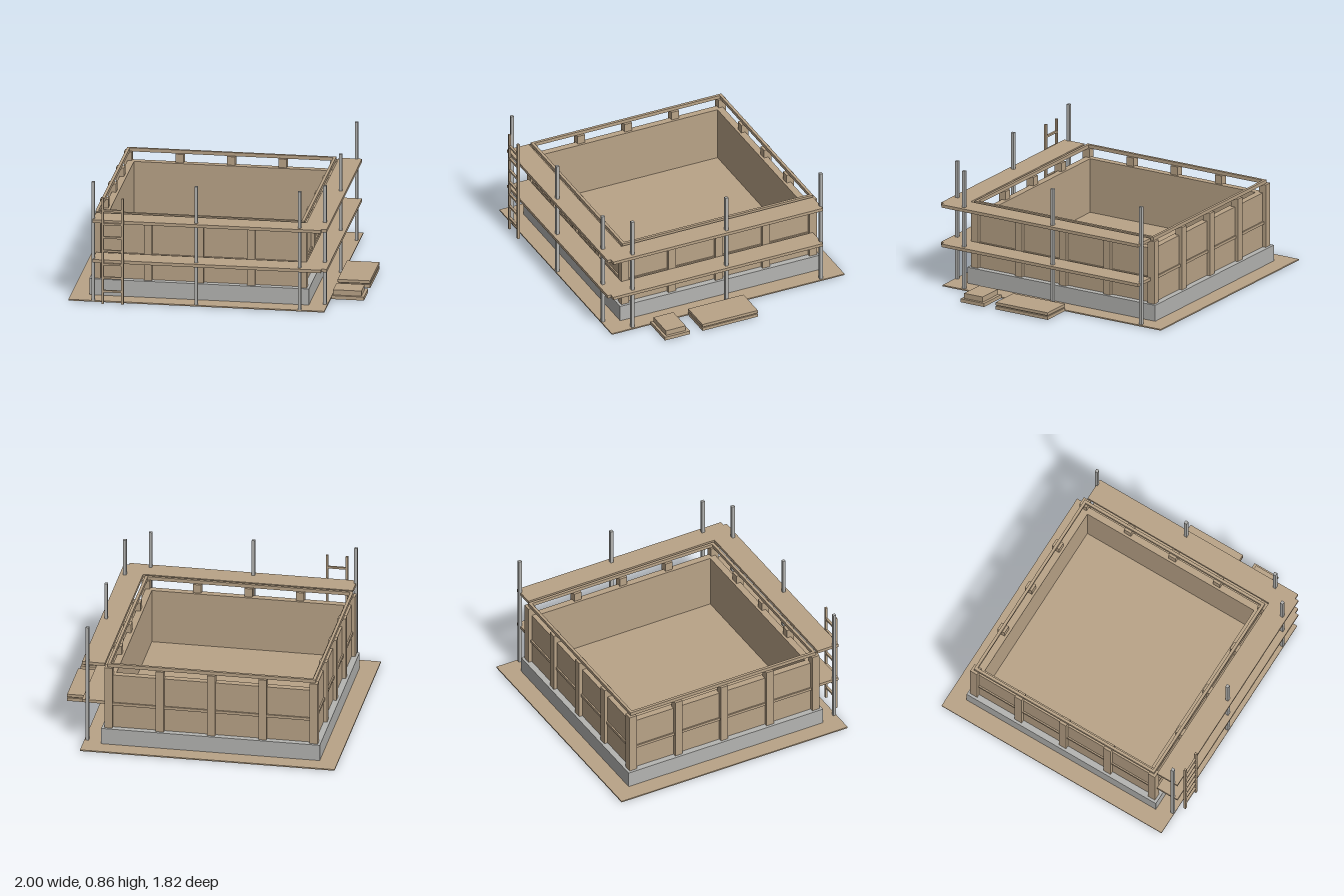
import * as THREE from 'three';

export function createModel() {
  const model = new THREE.Group();
  model.name = 'constructionSite';
  const wood = new THREE.MeshStandardMaterial({ color: 0xb9a387 });
  wood.name = 'timber';
  const grey = new THREE.MeshStandardMaterial({ color: 0xb4b4b1 });
  grey.name = 'concreteGrey';

  // Box given by its extents on each axis
  function box(name, mat, x0, x1, y0, y1, z0, z1, parent = model) {
    const m = new THREE.Mesh(new THREE.BoxGeometry(x1 - x0, y1 - y0, z1 - z0), mat);
    m.position.set((x0 + x1) / 2, (y0 + y1) / 2, (z0 + z1) / 2);
    m.name = name;
    parent.add(m);
  }

  // Flat outline in (x, z), raised from y0 to y1
  function slab(name, mat, points, y0, y1, hole) {
    const toV = ([x, z]) => new THREE.Vector2(x, -z);
    const shape = new THREE.Shape(points.map(toV));
    if (hole) shape.holes.push(new THREE.Path(hole.map(toV)));
    const g = new THREE.ExtrudeGeometry(shape, { depth: y1 - y0, bevelEnabled: false });
    g.rotateX(-Math.PI / 2);
    const m = new THREE.Mesh(g, mat);
    m.position.y = y0;
    m.name = name;
    model.add(m);
  }

  // Square ring around the building centre, by outer and inner half width
  const CX = -0.115, CZ = -0.026;
  const square = (h) => [[CX - h, CZ + h], [CX + h, CZ + h], [CX + h, CZ - h], [CX - h, CZ - h]];
  const ring = (name, mat, outer, inner, y0, y1) =>
    slab(name, mat, square(outer), y0, y1, square(inner));

  // Ground, foundation and floor
  box('ground', wood, -1, 0.77, 0.001, 0.01, -0.91, 0.857);
  ring('foundation', grey, 0.76, 0.64, 0, 0.125);
  box('floor', wood, CX - 0.69, CX + 0.69, 0.01, 0.128, CZ - 0.69, CZ + 0.69);

  // Walls, mid rail and top plate
  ring('walls', wood, 0.717, 0.669, 0.125, 0.515);
  ring('midRail', wood, 0.727, 0.71, 0.29, 0.31);
  ring('topPlate', wood, 0.724, 0.704, 0.575, 0.6);

  // Wall posts, five to a side
  const posts = new THREE.Group();
  posts.name = 'wallPosts';
  model.add(posts);
  const R = 0.714, P = 0.028;
  for (let i = 0; i < 5; i++) {
    for (let j = 0; j < 5; j++) {
      if (i % 4 !== 0 && j % 4 !== 0) continue;
      const x = CX + R * (i / 2 - 1), z = CZ + R * (j / 2 - 1);
      box('wallPost', wood, x - P, x + P, 0.125, 0.576, z - P, z + P, posts);
    }
  }

  // Scaffold decks wrapping the front and left sides
  const deck = [[-0.83, 0.717], [0.628, 0.717], [0.628, -0.738], [0.787, -0.738],
    [0.787, 0.855], [0.765, 0.855], [0.765, 0.842], [0.765, 0.855],
    [0.75, 0.855], [0.75, 0.88], [-0.83, 0.88]].filter((p, i) => i !== 5 && i !== 6 && i !== 7);
  slab('lowerDeck', wood, deck, 0.29, 0.312);
  slab('upperDeck', wood, deck, 0.575, 0.597);

  // Scaffold poles
  const S = 0.011;
  for (const [x, z] of [[-0.83, 0.844], [-0.117, 0.844], [0.598, 0.844],
    [0.75, 0.692], [0.75, -0.022], [0.75, -0.738]]) {
    box('scaffoldPole', grey, x - S, x + S, 0.005, 0.86, z - S, z + S);
  }

  // Ladder
  const ladder = new THREE.Group();
  ladder.name = 'ladder';
  model.add(ladder);
  for (const x of [-0.757, -0.62]) {
    box('ladderRail', wood, x - 0.008, x + 0.008, 0.005, 0.765, 0.89, 0.906, ladder);
  }
  for (let i = 0; i < 7; i++) {
    const y = 0.095 + i * 0.0965;
    box('ladderRung', wood, -0.752, -0.625, y - 0.007, y + 0.007, 0.89, 0.906, ladder);
  }

  // Stacked boards beside the building
  box('largeBoardLower', wood, 0.775, 1, 0.005, 0.028, -0.14, 0.28);
  box('largeBoardMiddle', wood, 0.785, 0.99, 0.028, 0.035, -0.13, 0.27);
  box('largeBoardUpper', wood, 0.775, 1, 0.035, 0.056, -0.14, 0.28);
  box('smallBoardLower', wood, 0.775, 1, 0.005, 0.03, 0.375, 0.565);
  box('smallBoardUpper', wood, 0.785, 0.98, 0.03, 0.067, 0.398, 0.548);

  return model;
}
